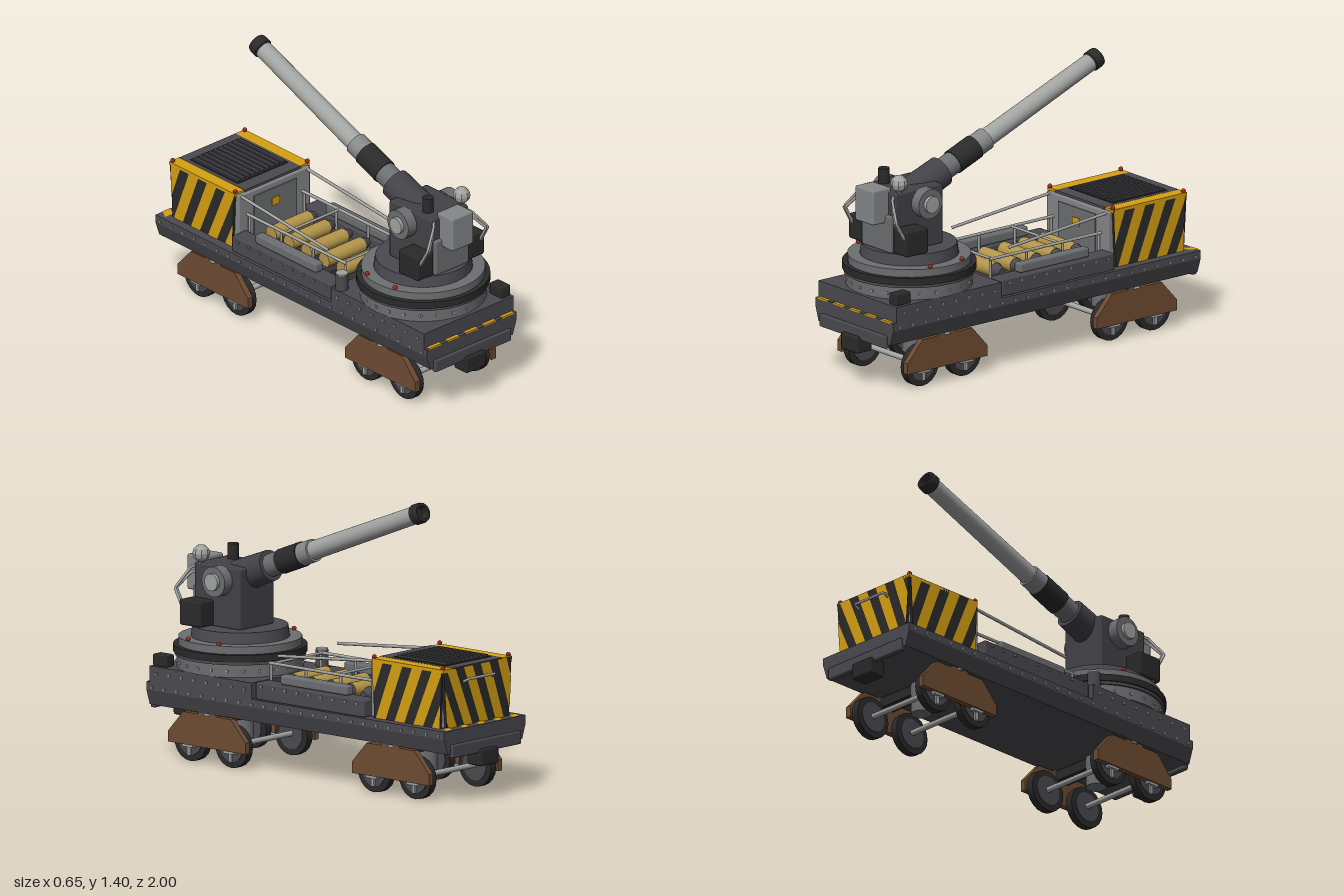
import * as THREE from 'three';
import { RoundedBoxGeometry } from 'three/addons/geometries/RoundedBoxGeometry.js';
import { mergeGeometries } from 'three/addons/utils/BufferGeometryUtils.js';

const colour = (name, hex, side = THREE.FrontSide) => {
  const m = new THREE.MeshStandardMaterial({ color: hex, side });
  m.name = name;
  return m;
};

export function createModel() {
  const M = {
    hull: colour('dark steel', 0x4a4a50),
    mount: colour('gun mount steel', 0x424248),
    grey: colour('mid grey', 0x6c6e71),
    panel: colour('panel grey', 0x858789),
    light: colour('light grey', 0xa2a4a2),
    black: colour('black', 0x2a2a2b),
    brown: colour('rust brown', 0x6e4c32),
    brass: colour('shell brass', 0xb4964a),
    yellow: colour('warning yellow', 0xd6a012),
    red: colour('lamp red', 0xa02818),
  };
  const root = new THREE.Group();
  root.name = 'railGun';

  const add = (name, geo, mat, x = 0, y = 0, z = 0, parent = root) => {
    const m = new THREE.Mesh(geo, mat);
    m.name = name;
    m.position.set(x, y, z);
    parent.add(m);
    return m;
  };
  // box given by its limits; a bevel rounds the edges
  const box = (name, mat, [x0, x1], [y0, y1], [z0, z1], bevel = 0) => {
    const s = [x1 - x0, y1 - y0, z1 - z0];
    const g = bevel ? new RoundedBoxGeometry(...s, 1, bevel) : new THREE.BoxGeometry(...s);
    return add(name, g, mat, (x0 + x1) / 2, (y0 + y1) / 2, (z0 + z1) / 2);
  };
  const drum = (name, mat, r, y0, y1, x, z, rTop = r, sides = 40) =>
    add(name, new THREE.CylinderGeometry(rTop, r, y1 - y0, sides), mat, x, (y0 + y1) / 2, z);
  const crossCyl = (name, mat, r, x0, x1, y, z, r1 = r) => {
    const m = add(name, new THREE.CylinderGeometry(r1, r, x1 - x0, 20), mat, (x0 + x1) / 2, y, z);
    m.rotation.z = -Math.PI / 2;
    return m;
  };
  // straight-jointed pipe through points
  const pipe = (name, mat, r, pts) => {
    const path = new THREE.CurvePath();
    const v = pts.map(p => new THREE.Vector3(...p));
    for (let i = 1; i < v.length; i++) path.add(new THREE.LineCurve3(v[i - 1], v[i]));
    return add(name, new THREE.TubeGeometry(path, (v.length - 1) * 6, r, 8), mat);
  };
  const rivets = (name, mat, pts, s = 0.012) =>
    add(name, mergeGeometries(pts.map(p => new THREE.BoxGeometry(s, s, s).translate(...p))), mat);
  const range = (n, a, b) => Array.from({ length: n }, (_, i) => a + (b - a) * i / (n - 1));
  const both = f => [1, -1].forEach(f);
  const span = (s, a, b) => s > 0 ? [a, b] : [-b, -a];
  const poly = pts => new THREE.Shape(pts.map(p => new THREE.Vector2(...p)));

  // hull with sloping sides
  const section = poly([[-0.27, 0.255], [0.27, 0.255], [0.295, 0.33], [0.295, 0.37], [-0.295, 0.37], [-0.295, 0.33]]);
  add('hull', new THREE.ExtrudeGeometry(section, { depth: 1.93, bevelEnabled: false }), M.hull, 0, 0, -0.965);
  box('gunPlatform', M.hull, [-0.295, 0.295], [0.37, 0.45], [0.285, 0.945]);
  both(s => {
    box('bumperPlate', M.hull, [-0.25, 0.25], [0.235, 0.3], span(s, 0.95, 0.98), 0.008);
    box('buffer', M.black, [-0.065, 0.065], [0.17, 0.255], span(s, 0.905, 1), 0.012);
    rivets('hullRivets', M.panel, range(24, -0.93, 0.93).map(z => [s * 0.293, 0.345, z]));
    rivets('platformRivets', M.panel, range(8, 0.33, 0.9).map(z => [s * 0.293, 0.415, z]));
  });
  // warning dashes on the end ledges
  for (const x of range(5, -0.24, 0.24)) {
    box('frontDash', M.yellow, [x - 0.04, x + 0.04], [0.366, 0.374], [0.947, 0.966]);
    const d = poly([[x - 0.04, 0.912], [x + 0.01, 0.912], [x + 0.04, 0.964], [x - 0.01, 0.964]]);
    add('rearDash', new THREE.ShapeGeometry(d), M.yellow, 0, 0.373).rotation.x = -Math.PI / 2;
  }

  // bogies
  const side = poly([[-0.25, 0.085], [-0.25, 0.14], [-0.155, 0.245], [-0.06, 0.245], [-0.05, 0.255], [0.05, 0.255],
    [0.06, 0.245], [0.155, 0.245], [0.25, 0.14], [0.25, 0.085]]);
  for (const zc of [0.6, -0.59]) {
    drum('bogiePivot', M.grey, 0.05, 0.1, 0.27, 0, zc);
    box('bogieBeam', M.black, [-0.235, 0.235], [0.2, 0.25], [zc - 0.04, zc + 0.04]);
    both(s => {
      const f = add('bogieFrame', new THREE.ExtrudeGeometry(side, { depth: 0.03, bevelEnabled: false }), M.brown, s * 0.25 - 0.015, 0, zc);
      f.rotation.y = Math.PI / 2;
      drum('springSeat', M.light, 0.025, 0.245, 0.275, s * 0.25, zc, 0.01, 12);
    });
    for (const z of [zc + 0.133, zc - 0.133]) {
      crossCyl('axle', M.light, 0.014, -0.2, 0.2, 0.108, z);
      both(s => {
        crossCyl('wheel', M.black, 0.105, ...span(s, 0.197, 0.235), 0.105, z);
        crossCyl('wheelFace', M.hull, 0.075, ...span(s, 0.194, 0.238), 0.105, z);
        box('axleBox', M.light, span(s, 0.23, 0.258), [0.072, 0.088], [z - 0.035, z + 0.035]);
        box('axleGuide', M.light, span(s, 0.23, 0.248), [0.03, 0.08], [z - 0.009, z + 0.009]);
      });
    }
  }

  // turntable
  const tz = 0.62;
  drum('turntableBase', M.grey, 0.308, 0.45, 0.52, 0, tz);
  drum('turntableLowerLip', M.hull, 0.318, 0.512, 0.53, 0, tz);
  drum('turntableFlange', M.black, 0.325, 0.527, 0.562, 0, tz);
  drum('turntableUpper', M.grey, 0.3, 0.56, 0.6, 0, tz);
  drum('turntableTop', M.hull, 0.24, 0.6, 0.655, 0, tz, 0.232);
  rivets('turntableRivets', M.light, range(25, 0, Math.PI * 2).slice(1)
    .map(a => [Math.sin(a) * 0.307, 0.48, tz + Math.cos(a) * 0.307]));
  const lamp = (x, y, z) => add('redLamp', new THREE.SphereGeometry(0.012, 8, 6), M.red, x, y, z);
  both(s => [0.515, 0.715].forEach(z => lamp(s * 0.272, 0.608, z)));
  box('platformBox', M.black, [0.225, 0.285], [0.45, 0.51], [0.845, 0.935], 0.008);
  drum('platformPost', M.hull, 0.032, 0.45, 0.53, -0.262, 0.325, 0.032, 16);
  drum('platformPostCap', M.light, 0.03, 0.53, 0.537, -0.262, 0.325, 0.03, 16);

  // gun mount
  box('mountBody', M.mount, [-0.125, 0.125], [0.65, 0.955], [0.51, 0.81], 0.012);
  box('mountFrontPlate', M.grey, [-0.11, 0.11], [0.655, 0.84], [0.77, 0.83], 0.01);
  box('sightCabinet', M.panel, [-0.07, 0.07], [0.8, 0.975], [0.79, 0.905], 0.01);
  both(s => {
    box('ammoBox', M.black, span(s, 0.115, 0.222), [0.657, 0.785], [0.68, 0.82], 0.012);
    crossCyl('trunnion', M.grey, 0.075, ...span(s, 0.12, 0.18), 0.885, 0.635);
    crossCyl('trunnionHub', M.light, 0.042, ...span(s, 0.17, 0.197), 0.885, 0.635);
    for (const o of [0, 0.025])
      pipe('mountPipe', M.light, 0.007, [[s * 0.09, 0.945 - o, 0.79], [s * 0.125, 0.925 - o, 0.83],
        [s * (0.2 - o / 2), 0.83, 0.865], [s * (0.205 - o / 2), 0.7, 0.79]]);
  });
  const ball = new THREE.SphereGeometry(0.043, 8, 6).toNonIndexed();
  ball.computeVertexNormals();
  add('searchBall', ball, M.light, 0.11, 1.0, 0.775);
  drum('searchBallStem', M.grey, 0.014, 0.93, 0.97, 0.11, 0.775, 0.014, 8);
  drum('periscope', M.black, 0.028, 0.94, 1.03, -0.065, 0.725, 0.028, 12);

  // barrel, turned about the trunnions
  const gun = new THREE.Group();
  gun.name = 'gun';
  gun.position.set(0, 0.885, 0.635);
  gun.rotation.x = THREE.MathUtils.degToRad(-68.5);
  root.add(gun);
  const tube = (name, mat, r, a, b, r1 = r) =>
    add(name, new THREE.CylinderGeometry(r1, r, b - a, 28), mat, 0, (a + b) / 2, 0, gun);
  tube('cradle', M.mount, 0.085, -0.14, 0.23, 0.077);
  tube('innerSleeve', M.grey, 0.057, 0.22, 0.31);
  tube('recoilBand', M.black, 0.062, 0.31, 0.455);
  tube('outerSleeve', M.panel, 0.057, 0.455, 0.53);
  tube('barrel', M.light, 0.047, 0.53, 1.245, 0.044);
  const lip = [[0.044, 1.235], [0.051, 1.24], [0.051, 1.275], [0.047, 1.29], [0.034, 1.29], [0.032, 1.25], [0, 1.25]];
  const corners = lip.slice(1).map((p, i) => new THREE.LatheGeometry([lip[i], p].map(q => new THREE.Vector2(...q)), 28));
  add('muzzle', mergeGeometries(corners), M.black, 0, 0, 0, gun);

  // shell bay
  box('bayFloor', M.black, [-0.2, 0.2], [0.365, 0.385], [-0.44, 0.285]);
  for (const z of [-0.325, -0.2, -0.075, 0.05, 0.175]) {
    crossCyl('shellCase', M.brass, 0.038, -0.125, 0.12, 0.45, z);
    crossCyl('shellTip', M.hull, 0.036, 0.12, 0.165, 0.45, z, 0.018);
    box('shellCradle', M.hull, [-0.17, 0.17], [0.38, 0.42], [z - 0.02, z + 0.02]);
  }
  both(s => {
    box('sideLocker', M.hull, span(s, 0.19, 0.283), [0.37, 0.455], [-0.435, 0.27], 0.008);
    box('lockerLid', M.grey, span(s, 0.205, 0.258), [0.455, 0.505], [-0.3, 0.135], 0.012);
    rivets('lockerRivets', M.panel, range(9, -0.39, 0.23).map(z => [s * 0.282, 0.435, z]));
    pipe('handRail', M.light, 0.008, [[s * 0.18, 0.535, 0.27], [s * 0.18, 0.535, -0.44]]);
    for (const z of range(4, -0.42, 0.26)) pipe('railPost', M.light, 0.007, [[s * 0.18, 0.38, z], [s * 0.18, 0.535, z]]);
    pipe('slopingRod', M.light, 0.008, [[s * 0.215, 0.585, 0.18], [s * 0.215, 0.643, -0.46]]);
  });
  for (const z of [-0.17, 0.25]) pipe('crossRail', M.light, 0.007, [[-0.18, 0.535, z], [0.18, 0.535, z]]);

  // engine house
  box('houseBody', M.panel, [-0.235, 0.235], [0.37, 0.65], [-0.905, -0.435], 0.008);
  box('houseDoor', M.grey, [-0.14, 0.14], [0.385, 0.62], [-0.437, -0.429]);
  box('doorSign', M.yellow, [-0.025, 0.025], [0.53, 0.57], [-0.43, -0.424]);
  box('houseRoof', M.hull, [-0.185, 0.185], [0.64, 0.662], [-0.915, -0.45]);
  box('grilleBed', M.black, [-0.165, 0.165], [0.655, 0.666], [-0.86, -0.52]);
  for (const x of range(10, -0.145, 0.145)) box('grilleSlat', M.hull, [x - 0.007, x + 0.007], [0.66, 0.674], [-0.85, -0.53]);
  both(s => {
    box('roofStripe', M.yellow, span(s, 0.18, 0.248), [0.645, 0.661], [-0.918, -0.455]);
    [-0.46, -0.905].forEach(z => lamp(s * 0.237, 0.668, z));
  });
  pipe('rearHandle', M.light, 0.007, [[-0.1, 0.58, -0.91], [-0.1, 0.6, -0.945], [0.1, 0.6, -0.945], [0.1, 0.58, -0.91]]);

  // striped plates: narrower at the foot, stripes cut off at the plate edges
  const clip = (pts, inside, edge) => pts.flatMap((p, i) => {
    const q = pts[(i + 1) % pts.length], out = inside(p[0]) ? [p] : [];
    if (inside(p[0]) !== inside(q[0])) out.push([edge, p[1] + (q[1] - p[1]) * (edge - p[0]) / (q[0] - p[0])]);
    return out;
  });
  const stripedPlate = (name, top, foot, lean, count, x, z, turn) => {
    const g = new THREE.Group();
    g.name = name;
    g.position.set(x, 0.37, z);
    g.rotation.y = turn;
    root.add(g);
    const h = 0.288, map = ([u, v]) => [(u - 0.5) * (foot + (top - foot) * v), v * h];
    const plate = poly([[0, 0], [1, 0], [1, 1], [0, 1]].map(map));
    add('plate', new THREE.ExtrudeGeometry(plate, { depth: 0.02, bevelEnabled: false }), M.black, 0, 0, -0.02, g);
    const step = 1 / count;
    for (let i = -2; i < count + 2; i++) {
      const a = i * step + 0.03, b = a + step * 0.52;
      let p = clip([[a, 0], [b, 0], [b + lean, 1], [a + lean, 1]], u => u >= 0, 0);
      p = clip(p, u => u <= 1, 1);
      if (p.length > 2) add('stripe', new THREE.ShapeGeometry(poly(p.map(map))), M.yellow, 0, 0, 0.003, g);
    }
  };
  both(s => stripedPlate('sideStripes', 0.45, 0.425, 0.27, 3.5, s * 0.248, -0.682, s * Math.PI / 2));
  stripedPlate('rearStripes', 0.49, 0.45, -0.24, 4, 0, -0.918, Math.PI);

  return root;
}
